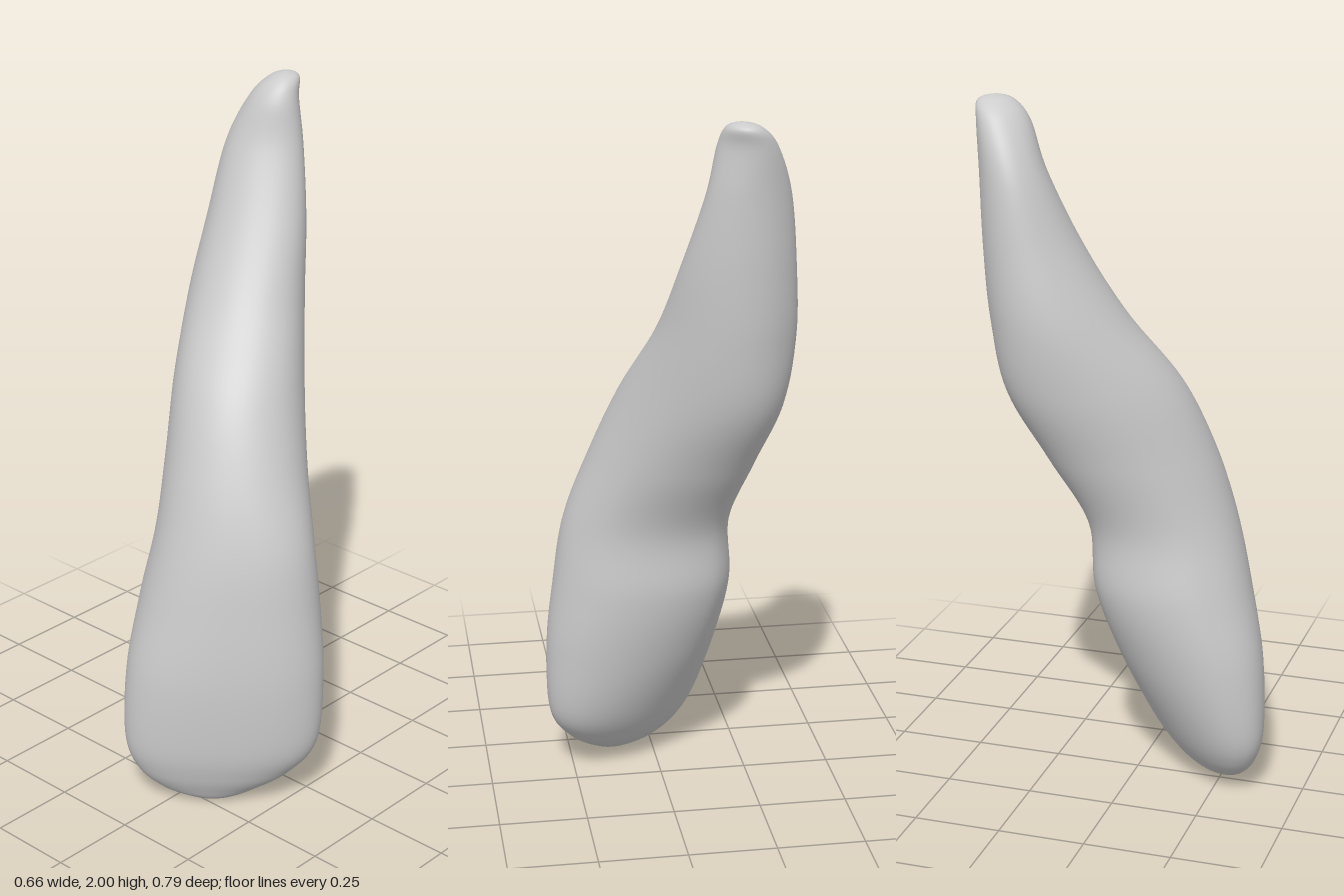
import * as THREE from 'three';

// Cross-sections from cutting edge to root tip:
// [height, side min, side max, tongue side, lip side, taper, lip squareness, tongue squareness, skew]
const SECTIONS = [
  [0.0, -0.08, -0.08, 0.23, 0.23, 0, 2, 2, 0],
  [0.012, -0.155, -0.01, 0.185, 0.255, 0, 2, 2, 0],
  [0.04, -0.235, 0.06, 0.135, 0.273, 0.05, 2.1, 2, 0],
  [0.1, -0.3, 0.15, 0.083, 0.298, 0.1, 2.2, 2, 0.005],
  [0.2, -0.332, 0.22, 0.025, 0.318, 0.12, 2.3, 2, 0.01],
  [0.4, -0.328, 0.23, -0.075, 0.325, 0.15, 2.35, 1.85, 0.02],
  [0.6, -0.293, 0.215, -0.148, 0.31, 0.15, 2.3, 1.8, 0.03],
  [0.8, -0.247, 0.195, -0.165, 0.28, 0.15, 2.2, 1.85, 0.03],
  [1.0, -0.22, 0.177, -0.275, 0.215, 0.1, 2.15, 1.95, 0.01],
  [1.2, -0.2, 0.167, -0.385, 0.115, 0.06, 2.1, 2.05, 0],
  [1.4, -0.166, 0.163, -0.423, -0.04, 0, 2.15, 2.1, 0.01],
  [1.6, -0.116, 0.162, -0.435, -0.157, 0, 2.2, 2.1, 0.02],
  [1.8, -0.065, 0.15, -0.436, -0.248, 0, 2.2, 2.1, 0.02],
  [1.93, 0, 0.137, -0.433, -0.281, 0, 2.15, 2.1, 0.01],
  [1.985, 0.055, 0.138, -0.418, -0.318, 0, 2, 2, 0],
  [2.0, 0.102, 0.102, -0.368, -0.368, 0, 2, 2, 0],
];

// Smooth interpolation between neighbouring sections
function sectionAt(t) {
  const last = SECTIONS.length - 1;
  const i = Math.min(Math.floor(t), last - 1);
  const f = t - i;
  const row = (k) => SECTIONS[Math.max(0, Math.min(last, k))];
  return SECTIONS[0].map((_, k) => {
    const [p, a, b, n] = [row(i - 1)[k], row(i)[k], row(i + 1)[k], row(i + 2)[k]];
    return a + 0.5 * f * (b - p + f * (2 * p - 5 * a + 4 * b - n + f * (3 * (a - b) + n - p)));
  });
}

const power = (v, p) => Math.sign(v) * Math.pow(Math.abs(v), 2 / p);

// Closed loft whose broad face is turned about the vertical axis
function toothGeometry(around = 64, steps = 8) {
  const sx = 0.77, sz = -0.64;
  const rings = (SECTIONS.length - 1) * steps;
  const positions = [], index = [];
  for (let i = 0; i <= rings; i++) {
    const [y, w0, w1, n0, n1, taper, lip, tongue, skew] = sectionAt(i / steps);
    for (let j = 0; j < around; j++) {
      const angle = (j / around) * Math.PI * 2;
      const square = Math.sin(angle) < 0 ? tongue : lip;
      const u = power(Math.cos(angle), square);
      const v = power(Math.sin(angle), square);
      const w = (w0 + w1) / 2 + ((w1 - w0) / 2) * u * (1 + taper * v) / (1 + taper * taper / 2) + skew * v;
      const n = (n0 + n1) / 2 + ((n1 - n0) / 2) * v;
      positions.push(w * sx - n * sz, y, w * sz + n * sx);
      if (i === rings) continue;
      // the end rings are single points, so each needs one triangle per step
      const a = i * around + j, b = i * around + (j + 1) % around;
      if (i < rings - 1) index.push(a, a + around, b + around);
      if (i > 0) index.push(a, b + around, b);
    }
  }
  const geometry = new THREE.BufferGeometry();
  geometry.setAttribute('position', new THREE.Float32BufferAttribute(positions, 3));
  geometry.setIndex(index);
  geometry.computeVertexNormals();
  return geometry;
}

export function createModel() {
  const group = new THREE.Group();
  group.name = 'incisorTooth';
  const material = new THREE.MeshStandardMaterial({ color: 0xcccccc });
  const tooth = new THREE.Mesh(toothGeometry(), material);
  tooth.name = 'crownAndRoot';
  group.add(tooth);
  return group;
}
